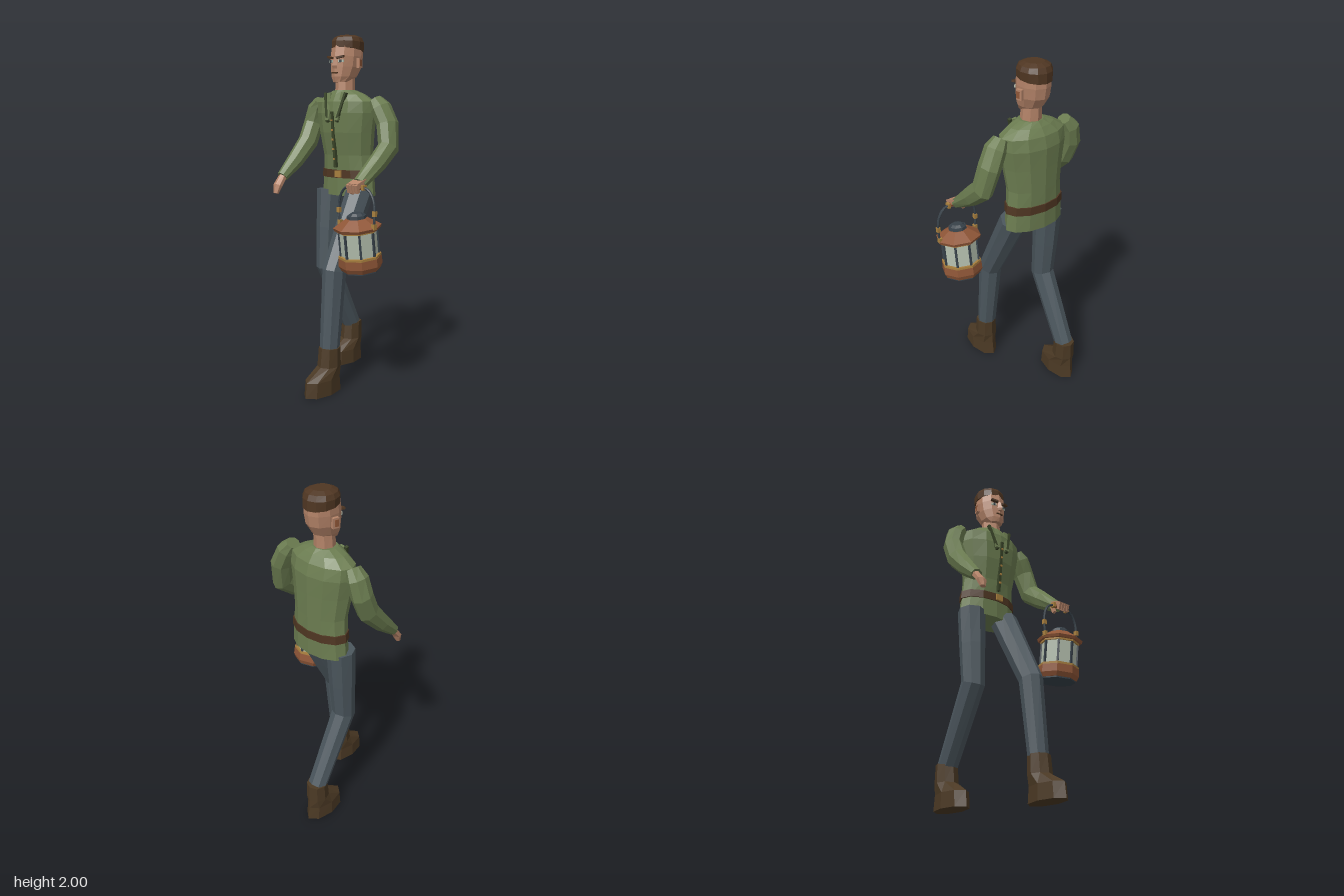
import * as THREE from 'three';

const mat = (name, color) => Object.assign(new THREE.MeshStandardMaterial({ color, flatShading: true }), { name });
const M = {
  shirt: mat('shirt green', 0x6b7c50), trim: mat('dark green', 0x3a4529),
  cloth: mat('trouser slate', 0x4b565d), boot: mat('boot brown', 0x4b3924),
  hair: mat('hair and belt brown', 0x4f3622), skin: mat('skin', 0xb58469),
  copper: mat('copper', 0x8f5637), brass: mat('brass', 0xa9803f),
  glass: mat('pale glass', 0xb4bfae), metal: mat('dark metal', 0x38424a),
};

function add(parent, name, geo, material, x = 0, y = 0, z = 0, rx = 0, ry = 0, rz = 0) {
  const m = new THREE.Mesh(geo, material);
  m.name = name;
  m.position.set(x, y, z);
  m.rotation.set(rx, ry, rz);
  parent.add(m);
  return m;
}
const box = (w, h, d) => new THREE.BoxGeometry(w, h, d);
const cyl = (top, bottom, h, n = 8) => new THREE.CylinderGeometry(top, bottom, h, n);

// Skin through elliptical rings listed from bottom to top.
// Ring: [x, y, z, radiusX, radiusZ, tilt]; follow = rings turn across the path.
function loft(rings, n = 8, follow = false) {
  const up = new THREE.Vector3(0, 1, 0), right = new THREE.Vector3(1, 0, 0);
  const at = i => new THREE.Vector3(...rings[Math.min(Math.max(i, 0), rings.length - 1)].slice(0, 3));
  const pts = rings.map(([, , , rx, rz, tilt = 0], i) => {
    const q = new THREE.Quaternion();
    if (follow) q.setFromUnitVectors(up, at(i + 1).sub(at(i - 1)).normalize());
    else q.setFromAxisAngle(right, tilt);
    return Array.from({ length: n }, (_, k) => {
      const a = k / n * Math.PI * 2;
      return new THREE.Vector3(rx * Math.sin(a), 0, rz * Math.cos(a)).applyQuaternion(q).add(at(i));
    });
  });
  const out = [], last = rings.length - 1;
  for (let k = 0; k < n; k++) {
    const j = (k + 1) % n;
    for (let i = 0; i < last; i++) {
      const a = pts[i][k], b = pts[i][j], c = pts[i + 1][j], d = pts[i + 1][k];
      out.push(a, b, c, a, c, d);
    }
    out.push(at(0), pts[0][j], pts[0][k], at(last), pts[last][k], pts[last][j]);
  }
  const g = new THREE.BufferGeometry().setFromPoints(out);
  g.computeVertexNormals();
  return g;
}

// Straight flat bar between two points
function bar(parent, name, a, b, w, d, material) {
  const A = new THREE.Vector3(...a), dir = new THREE.Vector3(...b).sub(A);
  const m = add(parent, name, box(w, dir.length(), d), material);
  m.position.copy(A).addScaledVector(dir, 0.5);
  m.quaternion.setFromUnitVectors(new THREE.Vector3(0, 1, 0), dir.normalize());
}

function buildTorso(g) {
  add(g, 'shirt', loft([
    [0, 1.085, -.125, .188, .1], [0, 1.2, -.125, .178, .1], [0, 1.32, -.12, .168, .106],
    [0, 1.45, -.108, .185, .118], [0, 1.56, -.105, .203, .122], [0, 1.625, -.1, .2, .11],
    [0, 1.665, -.095, .135, .085], [0, 1.69, -.09, .07, .065]], 12), M.shirt);
  add(g, 'belt', loft([[0, 1.188, -.125, .187, .106], [0, 1.235, -.125, .183, .106]], 12), M.hair);
  add(g, 'buckle', box(.045, .038, .012), M.brass, .012, 1.212, -.018);
  bar(g, 'placket', [0, 1.25, -.012], [0, 1.57, .018], .017, .018, M.trim);
  for (let i = 0; i < 5; i++)
    add(g, 'button', box(.011, .011, .01), M.brass, 0, 1.3 + i * .055, .003 + i * .0052);
  for (const s of [-1, 1]) {
    bar(g, 'collarEdge', [s * .034, 1.51, .02], [s * .078, 1.675, -.012], .016, .018, M.trim);
    bar(g, 'collarFlap', [s * .034, 1.52, .022], [s * .055, 1.675, -.018], .028, .012, M.shirt);
  }
}

function buildHead(g) {
  add(g, 'neck', loft([[0, 1.66, -.09, .058, .06], [0, 1.77, -.095, .052, .058]]), M.skin);
  add(g, 'head', loft([
    [0, 1.735, -.052, .042, .042], [0, 1.765, -.082, .064, .08], [0, 1.82, -.1, .08, .098],
    [0, 1.88, -.106, .086, .102], [0, 1.945, -.112, .084, .096]], 10), M.skin);
  add(g, 'hair', loft([
    [0, 1.918, -.114, .09, .1, -.12], [0, 1.962, -.114, .092, .098, -.04],
    [0, 1.986, -.114, .081, .086], [0, 2, -.114, .05, .054]], 12), M.hair);
  add(g, 'nose', loft([[0, 1.81, -.004, .015, .018], [0, 1.825, -.002, .018, .023],
    [0, 1.875, -.01, .009, .012]], 4), M.skin);
  add(g, 'mouth', box(.042, .007, .008), M.hair, 0, 1.787, -.004);
  for (const s of [-1, 1]) {
    add(g, 'eye', box(.032, .014, .008), M.glass, s * .037, 1.851, -.015, 0, s * .37);
    add(g, 'pupil', box(.012, .014, .009), M.metal, s * .036, 1.851, -.012, 0, s * .37);
    add(g, 'eyebrow', box(.045, .011, .02), M.hair, s * .038, 1.873, -.007, 0, s * .37, s * .2);
    add(g, 'ear', box(.018, .055, .036), M.skin, s * .091, 1.842, -.112, 0, s * .25);
    add(g, 'innerEar', box(.006, .036, .022), M.copper, s * .1, 1.842, -.11, 0, s * .25);
  }
}

function buildLeg(g, x, hip, knee, ankle, boot) {
  const leg = new THREE.Group();
  leg.name = x > 0 ? 'leftLeg' : 'rightLeg';
  g.add(leg);
  const mid = [0, 1, 2].map(i => (hip[i] + knee[i]) / 2);
  add(leg, 'trouserLeg', loft([[...ankle, .056, .056], [...knee, .064, .072],
    [...mid, .072, .076], [...hip, .08, .08]], 8, true), M.cloth);
  add(leg, 'boot', loft([
    [x, 0, boot, .069, .136], [x, .085, boot, .067, .126], [x, .145, boot - .053, .063, .07],
    [x, .25, boot - .058, .06, .063]]), M.boot);
}

function buildArms(g) {
  add(g, 'leftSleeve', loft([
    [.255, 1.188, .145, .042, .034], [.26, 1.29, .005, .048, .056], [.256, 1.37, -.095, .054, .066],
    [.228, 1.5, -.122, .058, .068], [.185, 1.59, -.115, .055, .066], [.15, 1.635, -.11, .035, .045]], 8, true), M.shirt);
  add(g, 'rightSleeve', loft([
    [-.343, 1.19, .15, .035, .032], [-.337, 1.28, .05, .05, .05], [-.333, 1.39, -.055, .056, .062],
    [-.332, 1.5, -.105, .056, .062], [-.31, 1.59, -.115, .052, .062], [-.275, 1.635, -.11, .035, .045]], 8, true), M.shirt);
  // Open right hand
  add(g, 'rightHand', loft([[-.34, 1.095, .205, .018, .012], [-.34, 1.14, .19, .033, .02],
    [-.343, 1.2, .14, .028, .022]], 6, true), M.skin);
  // Left hand closed round the lantern grip
  add(g, 'leftPalm', box(.074, .03, .075), M.skin, .255, 1.19, .162, .35);
  for (let i = 0; i < 4; i++)
    add(g, 'finger', box(.016, .045, .02), M.skin, .226 + i * .0195, 1.165, .198, .3);
  add(g, 'thumb', box(.018, .05, .02), M.skin, .216, 1.155, .155, -.35);
}

function buildLantern(g) {
  const l = new THREE.Group();
  l.name = 'lantern';
  l.position.set(.255, .99, .165);
  l.rotation.x = .13;
  g.add(l);
  add(l, 'bottomPlate', cyl(.104, .104, .008), M.metal, 0, -.272);
  add(l, 'baseFoot', cyl(.12, .108, .025), M.copper, 0, -.256);
  add(l, 'base', cyl(.118, .12, .045), M.copper, 0, -.221);
  add(l, 'baseRing', cyl(.117, .117, .014), M.brass, 0, -.193);
  add(l, 'glass', cyl(.102, .102, .145), M.glass, 0, -.118);
  for (let i = 0; i < 8; i++) {
    const a = i * Math.PI / 4;
    add(l, 'post', box(.012, .145, .012), M.metal, .103 * Math.sin(a), -.118, .103 * Math.cos(a), 0, a);
  }
  add(l, 'topRing', cyl(.112, .112, .012), M.brass, 0, -.048);
  add(l, 'eave', cyl(.132, .126, .016), M.copper, 0, -.036);
  add(l, 'roof', cyl(.06, .132, .044), M.copper, 0, -.006);
  add(l, 'vent', cyl(.052, .055, .018), M.metal, 0, .023);
  add(l, 'ventCap', cyl(.03, .046, .014), M.metal, 0, .038);
  // Hanging handle, upright in the hand
  const pts = [[-.122, .975], [-.127, 1.04], [-.118, 1.11], [-.09, 1.155], [-.05, 1.172],
    [.05, 1.172], [.09, 1.155], [.118, 1.11], [.127, 1.04], [.122, .975]];
  const curve = new THREE.CatmullRomCurve3(pts.map(([x, y]) => new THREE.Vector3(.255 + x, y, .17)));
  add(g, 'handle', new THREE.TubeGeometry(curve, 28, .007, 6), M.metal);
  add(g, 'grip', cyl(.013, .013, .1), M.copper, .255, 1.172, .17, 0, 0, Math.PI / 2);
  for (const s of [-1, 1]) {
    add(g, 'gripEnd', box(.014, .028, .03), M.brass, .255 + s * .052, 1.172, .17);
    add(g, 'handleClasp', box(.02, .028, .02), M.brass, .255 + s * .126, 1.04, .17);
    add(g, 'handleLug', box(.02, .03, .024), M.brass, .255 + s * .12, .97, .167);
  }
}

export function createModel() {
  const root = new THREE.Group();
  root.name = 'walkerWithLantern';
  const body = new THREE.Group();
  body.name = 'body';
  body.position.x = -.063;
  root.add(body);
  buildTorso(body);
  buildHead(body);
  buildLeg(root, .063, [.048, 1.11, -.095], [.056, .68, .13], [.06, .235, .175], .235);
  buildLeg(root, -.19, [-.19, 1.11, -.1], [-.19, .655, -.07], [-.19, .235, -.29], -.237);
  buildArms(root);
  buildLantern(root);
  return root;
}
